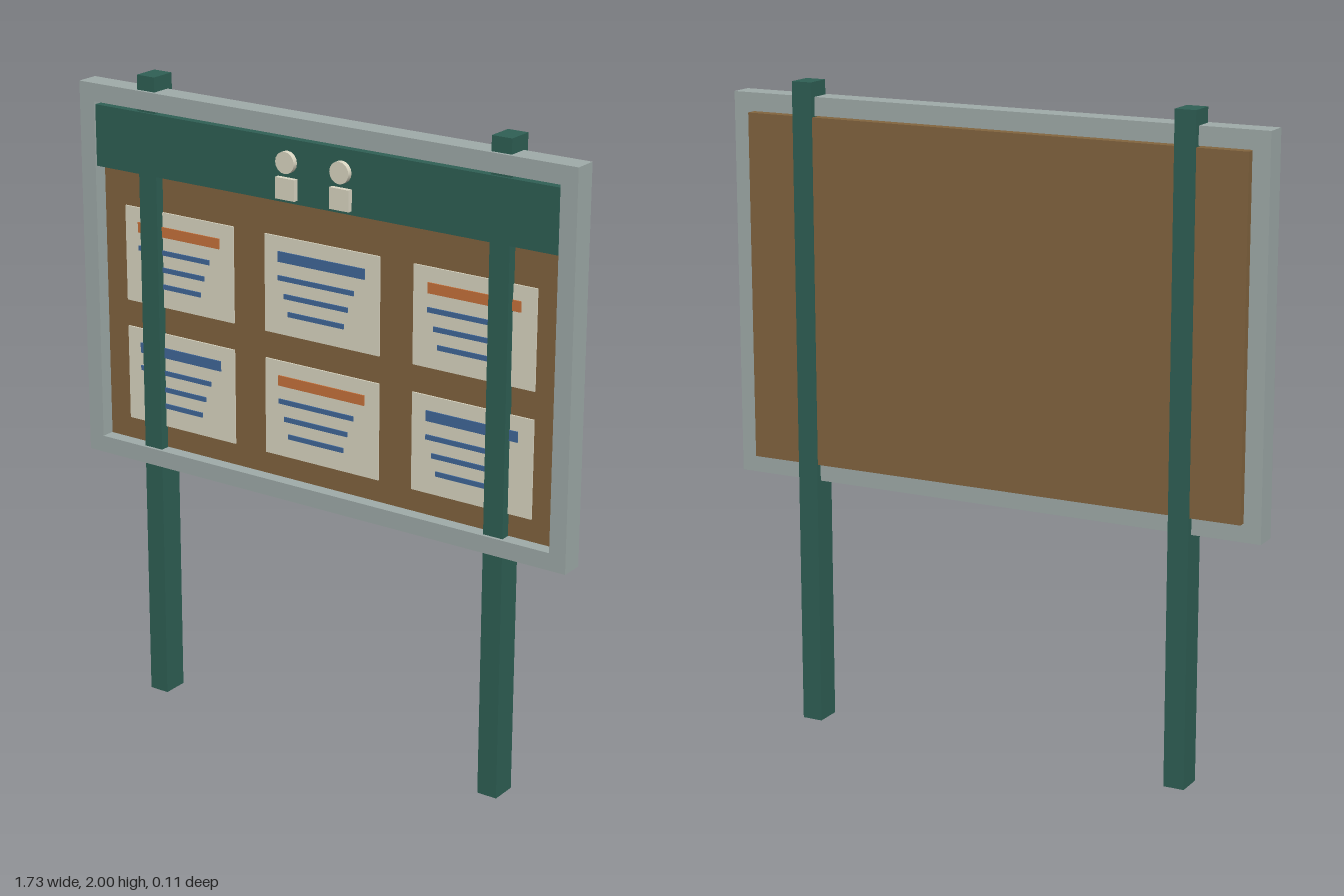
import * as THREE from 'three';

const material = (name, color) => {
  const m = new THREE.MeshStandardMaterial({ color });
  m.name = name;
  return m;
};

export function createModel() {
  const green = material('dark green', 0x2f6055);
  const grey = material('metal grey', 0xa0acaa);
  const cork = material('cork brown', 0x83653f);
  const cream = material('paper cream', 0xdcd8c4);
  const blue = material('ink blue', 0x41699a);
  const orange = material('ink orange', 0xc9733c);

  const model = new THREE.Group();
  model.name = 'noticeBoard';

  const add = (parent, name, geometry, mat, x, y, z) => {
    const mesh = new THREE.Mesh(geometry, mat);
    mesh.name = name;
    mesh.position.set(x, y, z);
    parent.add(mesh);
    return mesh;
  };
  // Box given by its centre x, y and its back and front z
  const box = (parent, name, mat, x, y, w, h, z0, z1) =>
    add(parent, name, new THREE.BoxGeometry(w, h, z1 - z0), mat, x, y, (z0 + z1) / 2);

  // Posts
  for (const side of [-1, 1]) {
    box(model, side < 0 ? 'rightPost' : 'leftPost', green, side * 0.618, 1, 0.065, 2, -0.053, 0.03);
  }

  // Frame with a rectangular opening
  const rect = (path, x, y0, y1) =>
    path.moveTo(-x, y0).lineTo(x, y0).lineTo(x, y1).lineTo(-x, y1).closePath();
  const outline = rect(new THREE.Shape(), 0.865, 0.776, 1.955);
  outline.holes.push(rect(new THREE.Path(), 0.811, 0.829, 1.899));
  const frameGeometry = new THREE.ExtrudeGeometry(outline, { depth: 0.073, bevelEnabled: false });
  add(model, 'frame', frameGeometry, grey, 0, 0, -0.033);

  // Cork panel and header band
  box(model, 'corkPanel', cork, 0, 1.363, 1.616, 1.066, -0.049, 0);
  box(model, 'header', green, 0, 1.795, 1.616, 0.19, 0, 0.037);

  // Two simple figures on the header
  for (const x of [-0.095, 0.095]) {
    const figure = new THREE.Group();
    figure.name = 'figureSign';
    const head = new THREE.CylinderGeometry(0.033, 0.033, 0.016, 16).rotateX(Math.PI / 2);
    add(figure, 'head', head, cream, x, 1.822, 0.045);
    box(figure, 'body', cream, x, 1.744, 0.068, 0.064, 0.037, 0.053);
    model.add(figure);
  }

  // Paper notices: title bar and three lines each
  const lines = [[0.27, 0.024], [0.228, -0.03], [0.2, -0.083]];
  [1.433, 1.049].forEach((y, row) => {
    [-0.524, 0, 0.524].forEach((x, column) => {
      const notice = new THREE.Group();
      notice.name = 'notice';
      notice.position.set(x, y, 0);
      box(notice, 'paper', cream, 0, 0, 0.408, 0.3, 0, 0.005);
      const titleColor = (row + column) % 2 ? blue : orange;
      box(notice, 'titleBar', titleColor, 0, 0.089, 0.308, 0.032, 0.005, 0.009);
      for (const [w, dy] of lines) {
        box(notice, 'textLine', blue, -0.019, dy, w, 0.015, 0.005, 0.009);
      }
      model.add(notice);
    });
  });

  return model;
}
